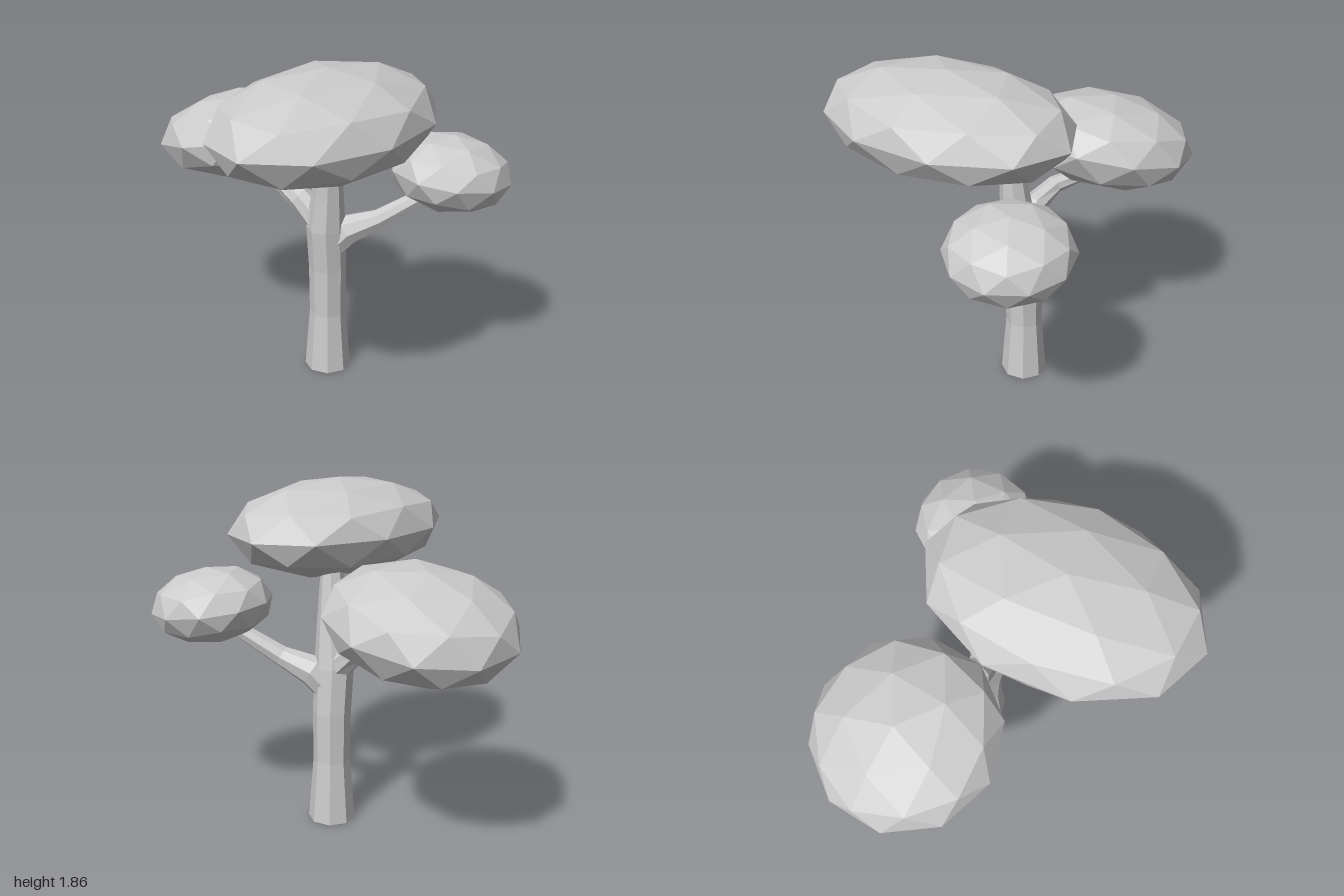
import * as THREE from 'three';

const v = (x, y, z) => new THREE.Vector3(x, y, z);

export function createModel() {
  const group = new THREE.Group();
  group.name = 'tree';
  const material = new THREE.MeshStandardMaterial({ color: 0xcccccc, flatShading: true });

  const add = (name, geometry) => {
    const mesh = new THREE.Mesh(geometry, material);
    mesh.name = name;
    group.add(mesh);
  };

  // Faceted limb: eight-sided rings around a path of [x, y, z, radius]
  const limb = (name, path, sides = 8) => {
    const centres = path.map((p) => v(p[0], p[1], p[2]));
    const positions = [];
    const rings = path.map((p, i) => {
      const tangent = i === 0 && name === 'trunk' ? v(0, 1, 0)
        : centres[Math.min(i + 1, path.length - 1)].clone().sub(centres[Math.max(i - 1, 0)]).normalize();
      const turn = new THREE.Quaternion().setFromUnitVectors(v(0, 1, 0), tangent);
      return Array.from({ length: sides }, (_, k) => {
        const a = (k / sides) * Math.PI * 2;
        return v(Math.sin(a) * p[3], 0, Math.cos(a) * p[3]).applyQuaternion(turn).add(centres[i]);
      });
    });
    const face = (...corners) => corners.forEach((c) => positions.push(c.x, c.y, c.z));
    const last = rings.length - 1;
    for (let k = 0; k < sides; k++) {
      const n = (k + 1) % sides;
      for (let i = 0; i < last; i++) {
        face(rings[i][k], rings[i][n], rings[i + 1][n]);
        face(rings[i][k], rings[i + 1][n], rings[i + 1][k]);
      }
      face(centres[0], rings[0][n], rings[0][k]);
      face(centres[last], rings[last][k], rings[last][n]);
    }
    const geometry = new THREE.BufferGeometry();
    geometry.setAttribute('position', new THREE.Float32BufferAttribute(positions, 3));
    geometry.computeVertexNormals();
    add(name, geometry);
  };

  // Foliage: icosphere with a vertex at its pole, stretched along three axes
  const foliage = (name, centre, xAxis, yAxis, zAxis) => {
    const geometry = new THREE.IcosahedronGeometry(1, 1);
    geometry.rotateX(Math.atan((1 + Math.sqrt(5)) / 2));
    geometry.applyMatrix4(new THREE.Matrix4().makeBasis(xAxis, yAxis, zAxis).setPosition(centre));
    geometry.computeVertexNormals();
    add(name, geometry);
  };

  limb('trunk', [
    [-0.01, 0, -0.06, 0.13],
    [-0.01, 0.35, -0.06, 0.102],
    [-0.01, 0.63, -0.055, 0.105],
    [-0.02, 0.88, -0.035, 0.108],
    [-0.01, 1.08, -0.015, 0.088],
    [-0.005, 1.42, 0.02, 0.062],
  ]);
  limb('leftBranch', [
    [-0.01, 0.74, -0.045, 0.08],
    [0.1, 0.86, -0.04, 0.088],
    [0.27, 0.93, -0.02, 0.056],
    [0.47, 1.05, -0.01, 0.045],
    [0.58, 1.12, -0.01, 0.04],
  ]);
  limb('rightBranch', [
    [-0.03, 0.88, -0.05, 0.085],
    [-0.16, 1.02, -0.11, 0.068],
    [-0.28, 1.08, -0.22, 0.05],
    [-0.35, 1.11, -0.36, 0.042],
  ]);

  foliage('topFoliage', v(-0.01, 1.595, 0.335),
    v(0.56, 0, -0.358), v(0, 0.265, 0), v(0.124, 0, 0.575));
  foliage('rightFoliage', v(-0.49, 1.275, -0.51),
    v(-0.03, 0.079, 0.49), v(-0.03, 0.25, -0.04), v(-0.49, -0.069, -0.03));
  foliage('leftFoliage', v(0.645, 1.21, -0.01),
    v(0, 0, 0.33), v(0.024, 0.203, 0), v(-0.33, 0.04, 0));

  return group;
}
